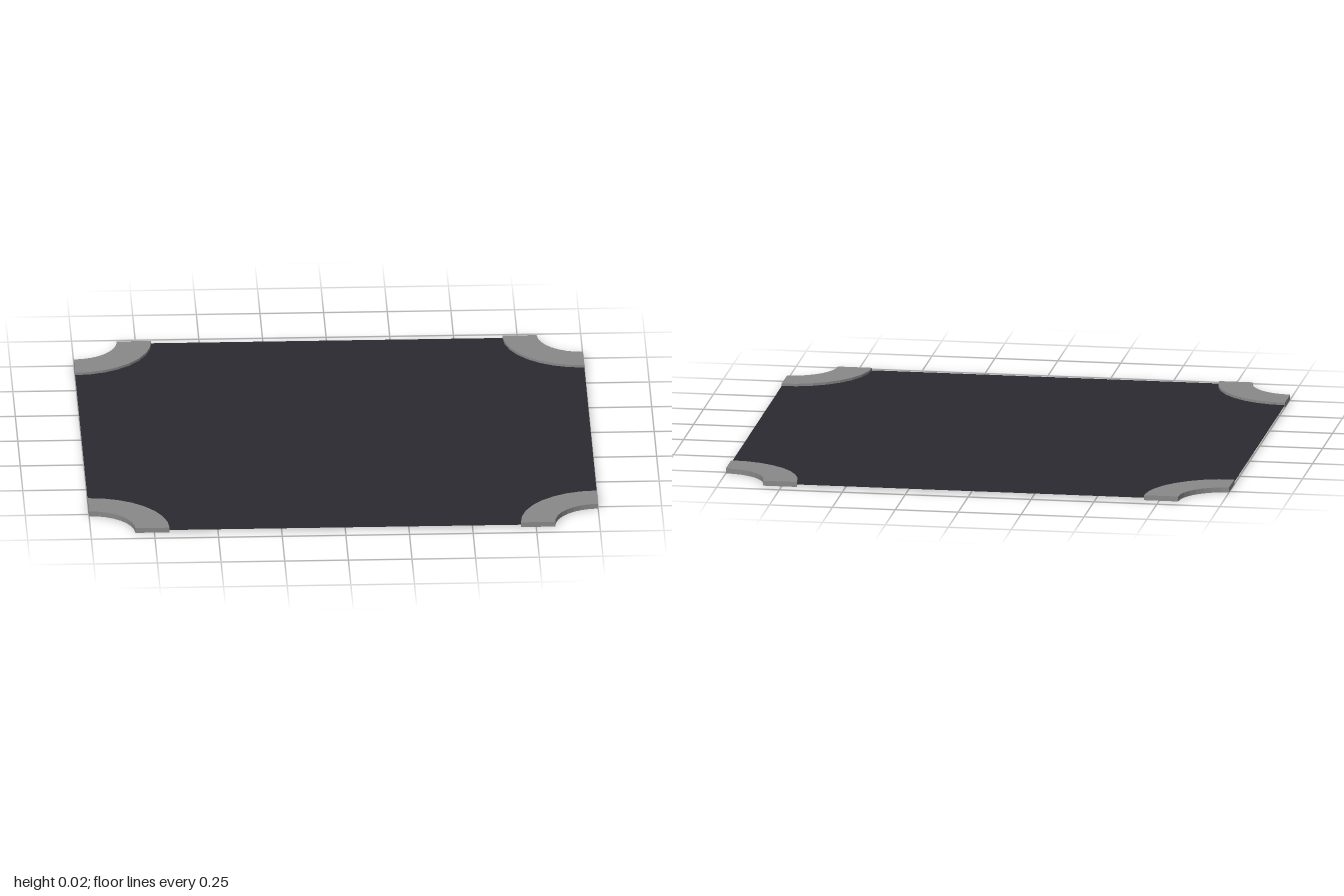
import * as THREE from 'three';

const HX = 1, HZ = 0.943;          // half extents of the sheet
const R_IN = 0.175, R_OUT = 0.31;  // corner ring radii
const THICK = 0.02;
const SEGMENTS = 4;                // ellipse curves get twice this many

// Corners counter-clockwise seen from above, starting at +x, -z
const corners = [[HX, HZ], [-HX, HZ], [-HX, -HZ], [HX, -HZ]];

export function createModel() {
  const model = new THREE.Group();
  const dark = new THREE.MeshStandardMaterial({ color: 0x2a2a30, side: THREE.DoubleSide });
  const grey = new THREE.MeshStandardMaterial({ color: 0x888888 });

  // Paper-thin sheet with a round bite out of each corner
  const outline = new THREE.Shape();
  corners.forEach(([x, y], k) => {
    const a = Math.PI + k * Math.PI / 2;
    const end = a + Math.PI / 2;
    if (k === 0) outline.moveTo(x + R_IN * Math.cos(end), y + R_IN * Math.sin(end));
    else outline.lineTo(x + R_IN * Math.cos(end), y + R_IN * Math.sin(end));
    outline.absarc(x, y, R_IN, end, a, true);
  });
  outline.closePath();
  const sheet = new THREE.Mesh(
    new THREE.ShapeGeometry(outline, SEGMENTS).rotateX(-Math.PI / 2), dark);
  sheet.position.y = THICK / 2;
  sheet.name = 'sheet';
  model.add(sheet);

  // Quarter-ring reinforcement at each corner
  const arc = new THREE.Shape();
  arc.absarc(0, 0, R_OUT, Math.PI, 1.5 * Math.PI, false);
  arc.absarc(0, 0, R_IN, 1.5 * Math.PI, Math.PI, true);
  arc.closePath();
  const ringGeometry = new THREE.ExtrudeGeometry(arc, {
    depth: THICK, bevelEnabled: false, curveSegments: SEGMENTS,
  }).rotateX(-Math.PI / 2);

  corners.forEach(([x, y], k) => {
    const ring = new THREE.Mesh(ringGeometry, grey);
    ring.position.set(x, 0, -y);
    ring.rotation.y = k * Math.PI / 2;
    ring.name = 'cornerRing' + (k + 1);
    model.add(ring);
  });

  return model;
}
